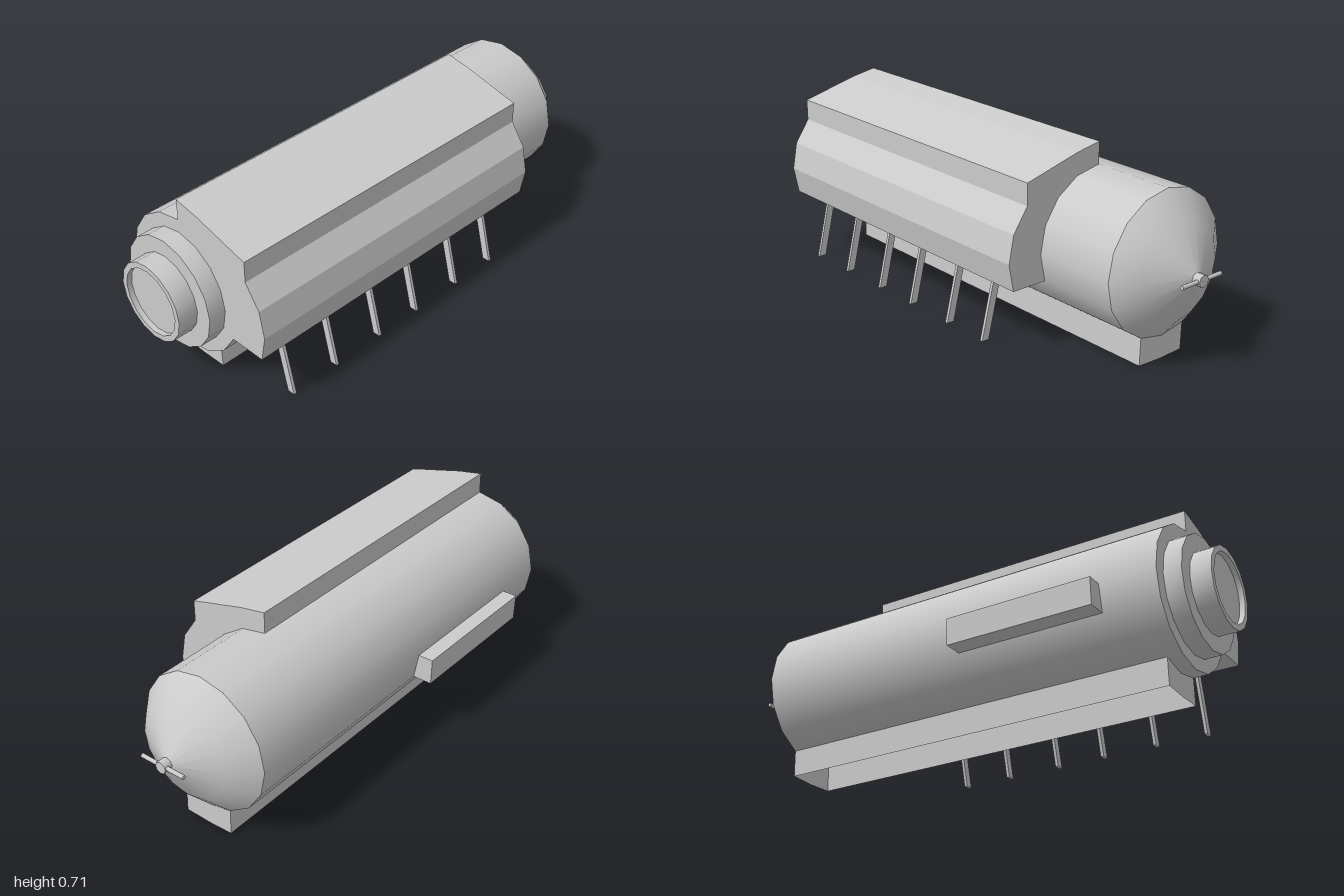
import * as THREE from 'three';
import { toCreasedNormals } from 'three/addons/utils/BufferGeometryUtils.js';

const CX = -0.042, CY = 0.356, R = 0.269;
const FRONT = 0.855, BACK = -0.81, SIDES = 16;
const STEP = Math.PI * 2 / SIDES;

const material = new THREE.MeshStandardMaterial({ color: 0xcccccc, side: THREE.DoubleSide });

function add(parent, name, geometry) {
  const mesh = new THREE.Mesh(geometry, material);
  mesh.name = name;
  parent.add(mesh);
  return mesh;
}

// Point on the body's cross-section; step 0 is +x, counting upwards
const rim = (i) => [CX + R * Math.cos(i * STEP), CY + R * Math.sin(i * STEP)];

const shapeOf = (points) => new THREE.Shape(points.map(([x, y]) => new THREE.Vector2(x, y)));

// Part of the body wall, from step i over n steps, between two depths
function wall(i, n, z0, z1) {
  const g = new THREE.CylinderGeometry(R, R, z1 - z0, n, 1, true, (i + SIDES / 4) * STEP, n * STEP);
  return g.rotateX(Math.PI / 2).translate(CX, CY, (z0 + z1) / 2);
}

// Turned part along z from [radius, z] points
function turned(points) {
  const g = new THREE.LatheGeometry(points.map(([r, z]) => new THREE.Vector2(r, z)), SIDES);
  return g.rotateX(Math.PI / 2).translate(CX, CY, 0);
}

// Solid with a constant cross-section along z
function solid(points, z0, z1) {
  const g = new THREE.ExtrudeGeometry(shapeOf(points), { depth: z1 - z0, bevelEnabled: false });
  return g.translate(0, 0, z0);
}

// Flat end plate at one depth
const plate = (points, z) => new THREE.ShapeGeometry(shapeOf(points)).translate(0, 0, z);

// Thin straight wall between two cross-section points
function sheet([x0, y0], [x1, y1], z0, z1) {
  const g = new THREE.PlaneGeometry(z1 - z0, Math.hypot(x1 - x0, y1 - y0));
  g.rotateY(Math.PI / 2).rotateZ(Math.atan2(y1 - y0, x1 - x0) - Math.PI / 2);
  return g.translate((x0 + x1) / 2, (y0 + y1) / 2, (z0 + z1) / 2);
}

export function createModel() {
  const model = new THREE.Group();
  model.name = 'tank';
  const keelFront = 0.8, boxFront = 0.64, boxBack = 0.06;

  // Hollow body, open into the side box and the keel
  const body = new THREE.Group();
  body.name = 'body';
  model.add(body);
  add(body, 'frontBand', wall(0, SIDES, keelFront, FRONT));
  add(body, 'mainWall', wall(-3, 11, BACK, keelFront));
  add(body, 'lowerRightWall', wall(9, 2, BACK, keelFront));
  add(body, 'wallBeforeBox', wall(8, 1, boxFront, keelFront));
  add(body, 'wallBehindBox', wall(8, 1, BACK, boxBack));

  // Stepped front neck with a shallow recess
  add(model, 'frontNeck', toCreasedNormals(turned([
    [R, FRONT], [0.216, FRONT], [0.216, 0.922], [0.152, 0.922],
    [0.152, 1], [0.13, 1], [0.13, 0.98], [0, 0.98],
  ]), 0.6));

  // Rear dome, its outer rings shifted slightly sideways
  const dome = turned([[0, -0.97], [0.022, -0.968], [0.185, -0.888], [R, BACK]]);
  const p = dome.attributes.position;
  for (let i = 0; i < p.count; i++) {
    if (p.getZ(i) < BACK - 0.01) p.setX(i, p.getX(i) + 0.018);
  }
  dome.computeVertexNormals();
  add(model, 'rearDome', dome);

  // Rear hub with its cross bar
  const valve = new THREE.Group();
  valve.name = 'rearValve';
  valve.position.set(CX + 0.018, CY, -0.983);
  model.add(valve);
  add(valve, 'hub', new THREE.CylinderGeometry(0.023, 0.023, 0.034, 8).rotateX(Math.PI / 2));
  add(valve, 'crossBar', new THREE.CylinderGeometry(0.008, 0.008, 0.19, 8).rotateZ(Math.PI / 2))
    .position.z = -0.005;

  // Casing wrapped around the upper left of the body
  const inner = [-1, 0, 1, 2, 3, 4].map(rim).reverse();
  add(model, 'casing', solid([
    ...inner, [0.35, 0.253], [0.37, CY], [0.35, 0.46], [0.29, 0.548],
    [0.29, 0.63], [0.062, 0.689], [CX, 0.708],
  ], -0.485, FRONT));

  // Row of slanted struts under the casing
  for (const z of [0.72, 0.515, 0.297, 0.1, -0.12, -0.318]) {
    add(model, 'strut', solid(
      [[0.265, 0.254], [0.325, 0.008], [0.355, 0.008], [0.295, 0.254]], z - 0.006, z + 0.006));
  }

  // Hollow side box
  const box = new THREE.Group();
  box.name = 'sideBox';
  model.add(box);
  const boxPoints = [rim(8), [-0.371, CY], [-0.367, 0.253], rim(9)];
  for (let i = 0; i < 3; i++) {
    add(box, 'boxWall', sheet(boxPoints[i], boxPoints[i + 1], boxBack, boxFront));
  }
  for (const z of [boxBack, boxFront]) add(box, 'boxEnd', plate(boxPoints, z));

  // Keel trough, open underneath
  const keel = new THREE.Group();
  keel.name = 'keel';
  model.add(keel);
  const bottomRight = [-0.142, 0.004], bottomLeft = [0.064, 0.004];
  add(keel, 'keelRightWall', sheet(rim(11), bottomRight, BACK, keelFront));
  add(keel, 'keelLeftWall', sheet(rim(13), bottomLeft, BACK, keelFront));
  for (const z of [BACK, keelFront]) {
    add(keel, 'keelEnd', plate([rim(11), bottomRight, [CX, 0], bottomLeft, rim(13), rim(12)], z));
  }
  return model;
}
